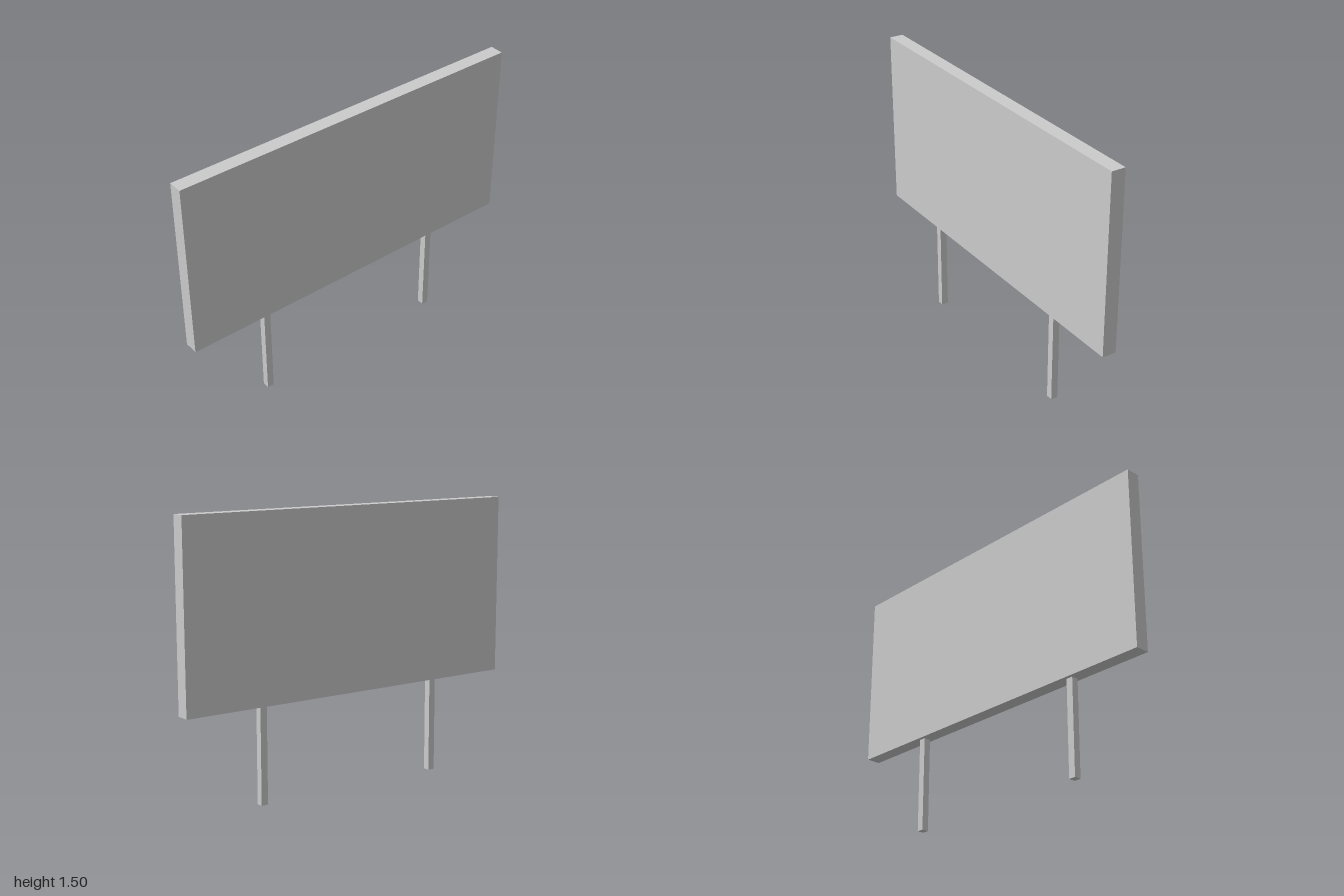
import * as THREE from 'three';

const BOTTOM = 0.518, TOP = 1.498; // board edges
const THICK = 0.077, POST = 0.038, POST_Z = 0.55;

export function createModel() {
  const model = new THREE.Group();
  model.name = 'billboard';
  const grey = new THREE.MeshStandardMaterial({ color: 0xcccccc, flatShading: true });

  // Adds a box standing on height y
  const addBox = (name, w, h, d, y, z) => {
    const mesh = new THREE.Mesh(new THREE.BoxGeometry(w, h, d), grey);
    mesh.name = name;
    mesh.position.set(0, y + h / 2, z);
    model.add(mesh);
  };

  // Display board, broad faces towards +x and -x
  addBox('board', THICK, TOP - BOTTOM, 2, BOTTOM, 0);

  // Square support posts
  for (const side of [1, -1]) {
    addBox(side > 0 ? 'frontPost' : 'backPost', POST, BOTTOM, POST, 0, side * POST_Z);
  }
  return model;
}
